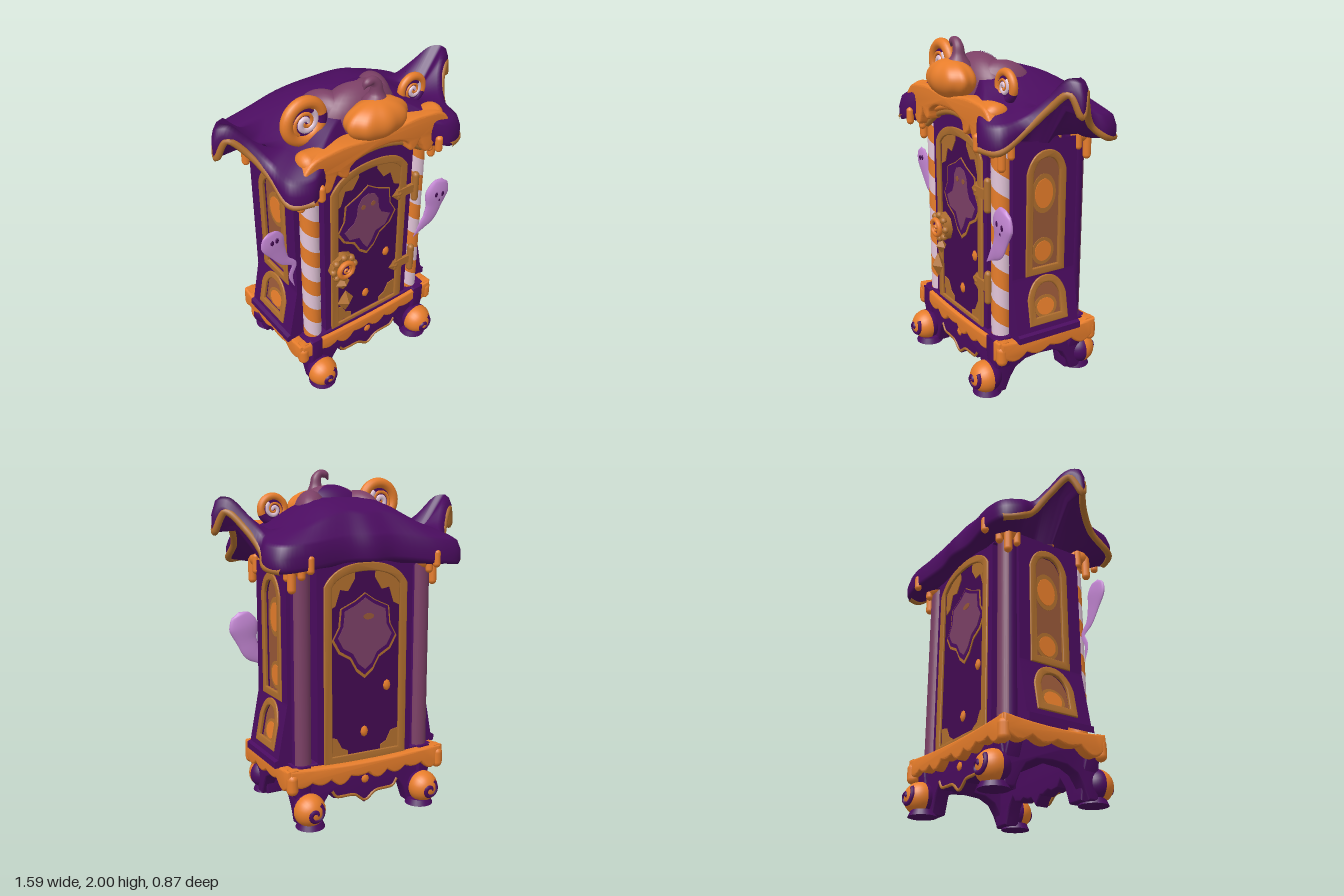
import * as THREE from 'three';
import { toCreasedNormals } from 'three/addons/utils/BufferGeometryUtils.js';

const mat = (name, color) => Object.assign(new THREE.MeshStandardMaterial({ color }), { name });
const purple = mat('purple', 0x4b0c60), dark = mat('dark plum', 0x430a52), orange = mat('orange', 0xec802c),
  bronze = mat('bronze', 0xb06f2e), mauve = mat('mauve', 0x7c4066), pale = mat('pale candy', 0xe3c6da),
  lilac = mat('ghost lilac', 0xc487d4), amber = mat('dim amber', 0x985838);
const V = (x, y, z = 0) => new THREE.Vector3(x, y, z);
const V2 = (p) => new THREE.Vector2(p[0], p[1]);
const SIDES = [-1, 1];

function add(parent, name, geo, material, x = 0, y = 0, z = 0) {
  const m = new THREE.Mesh(geo, material);
  m.name = name;
  m.position.set(x, y, z);
  parent.add(m);
  return m;
}

// Skin over closed rings listed from top to bottom, counter-clockwise from above
function loft(rings) {
  const n = rings[0].length, pos = [], idx = [];
  rings.forEach((r) => r.forEach((p) => pos.push(p.x, p.y, p.z)));
  for (let i = 0; i < rings.length - 1; i++) for (let j = 0; j < n; j++) {
    const a = i * n + j, d = i * n + (j + 1) % n;
    idx.push(a, a + n, d + n, a, d + n, d);
  }
  const g = new THREE.BufferGeometry();
  g.setAttribute('position', new THREE.Float32BufferAttribute(pos, 3));
  g.setIndex(idx);
  g.computeVertexNormals();
  return g;
}

// Tapered tube along a path in the xy plane; points are [x, y, radius]
function taper(points, flat = 1) {
  const path = new THREE.CatmullRomCurve3(points.map((p) => V(p[0], p[1])));
  const rad = new THREE.SplineCurve(points.map((p, i) => new THREE.Vector2(i, p[2])));
  const rings = [];
  for (let i = 0; i <= 40; i++) {
    const p = path.getPoint(i / 40), t = path.getTangent(i / 40), r = Math.max(0.0005, rad.getPoint(i / 40).y);
    rings.push(Array.from({ length: 16 }, (_, j) => {
      const a = j / 16 * Math.PI * 2, s = Math.sin(a) * r;
      return V(p.x - t.y * s, p.y + t.x * s, Math.cos(a) * r * flat);
    }));
  }
  return loft(rings);
}

function slab(parent, name, shape, material, depth, z, bevel = 0) {
  const geo = new THREE.ExtrudeGeometry(shape, { depth, curveSegments: 16, bevelEnabled: bevel > 0,
    bevelThickness: bevel, bevelSize: bevel, bevelSegments: 3 });
  return add(parent, name, bevel ? toCreasedNormals(geo, 0.7) : geo, material, 0, 0, z);
}
const poly = (pts) => new THREE.Shape(pts.map(V2));
// Mirrored outline from its right half, listed top to bottom
const sym = (pts) => poly([...pts, ...pts.slice().reverse().map(([x, y]) => [-x, y]).filter((p) => p[0] !== 0)]);
function arch(w, y0, y1, y2) {
  const s = new THREE.Shape();
  s.moveTo(-w, y0); s.lineTo(w, y0); s.lineTo(w, y1);
  s.quadraticCurveTo(w * 0.75, y2, 0, y2);
  s.quadraticCurveTo(-w * 0.75, y2, -w, y1);
  return s;
}
// Half width at height y of the arched openings [w, y0, y1, y2]; 0 outside them
function opening(y, arches) {
  const a = arches.find((o) => y > o[1] && y < o[3]);
  if (!a) return 0;
  const u = y < a[2] ? 1 : Math.sqrt((a[3] - y) / (a[3] - a[2]));
  return a[0] * (u * u + 1.5 * u * (1 - u));
}
function archFrame(w, y0, y1, y2, t) {
  const s = arch(w, y0, y1, y2);
  s.holes.push(arch(w - t, y0 + t, y1, y2 - t));
  return s;
}
// Spiral tube, optionally lying on a sphere of radius ball
function spiral(r, turns, tube, ball = 0) {
  const pts = Array.from({ length: 40 }, (_, i) => {
    const q = r * (0.08 + 0.92 * i / 39), a = turns * Math.PI * 2 * i / 39;
    return V(Math.cos(a) * q, Math.sin(a) * q, ball ? Math.sqrt(ball * ball - q * q) : 0);
  });
  return new THREE.TubeGeometry(new THREE.CatmullRomCurve3(pts), 60, tube, 6);
}
const disc = (r, d, n = 28) => new THREE.CylinderGeometry(r, r, d, n).rotateX(Math.PI / 2);
const drip = (parent, x, y, z, r, len) => add(parent, 'icing drip', new THREE.CapsuleGeometry(r, len, 6, 12), orange, x, y, z);

// Recessed door face with frame, corner ornaments and window, facing +z
function doorPanel(name, withGhost) {
  const g = new THREE.Group(), z = -0.019;
  g.name = name;
  slab(g, 'door field', arch(0.245, 0.355, 1.36, 1.46), dark, 0.003, z);
  slab(g, 'door frame', archFrame(0.265, 0.335, 1.36, 1.485, 0.04), bronze, 0.005, 0, 0.005);
  for (const s of SIDES) {
    slab(g, 'top ornament', poly([[-.23, 1.39], [-.17, 1.43], [-.07, 1.45], [-.065, 1.4], [-.11, 1.33], [-.16, 1.34], [-.19, 1.25], [-.23, 1.23]]
      .map(([x, y]) => [x * s, y])), bronze, 0.006, z + 0.002);
    slab(g, 'bottom ornament', poly([[-.23, .37], [-.23, .49], [-.18, .48], [-.15, .42], [-.11, .4], [-.11, .37]]
      .map(([x, y]) => [x * s, y])), bronze, 0.006, z + 0.002);
  }
  const win = [[0, 1.31], [.06, 1.27], [.15, 1.23], [.16, 1.13], [.2, 1.06], [.16, .99], [.09, .95], [.05, .88], [0, .84]];
  const grown = (k, y0) => sym(win.map(([x, y]) => [x * k, y0 + (y - y0) * k]));
  slab(g, 'window border', grown(1.06, 1.2), bronze, 0.006, z + 0.002);
  slab(g, 'window', sym(win), purple, 0.006, z + 0.004);
  if (withGhost) {
    slab(g, 'window ghost', sym([[0, 1.26], [.045, 1.245], [.072, 1.2], [.08, 1.13], [.1, 1.09], [.165, 1.05], [.13, .985],
      [.06, .97], [.03, .91], [0, .87]]), mauve, 0.005, z + 0.008);
    for (const s of SIDES) add(g, 'window ghost eye', disc(0.016, 0.004, 12), amber, s * 0.035, 1.18, z + 0.013);
  } else {
    slab(g, 'window pane', grown(0.88, 1.12), mauve, 0.005, z + 0.008);
    add(g, 'window glint', disc(1, 0.004, 16), amber, 0.02, 1.18, z + 0.013).scale.set(0.035, 0.018, 1);
  }
  for (const [x, y] of [[0, 0.5], [0.15, 0.76]])
    add(g, 'gem', new THREE.OctahedronGeometry(0.034, 1), orange, x, y, z + 0.006).scale.set(0.75, 1, 0.4);
  return g;
}

// Recessed arched side window, facing +z
function sideWindow(name, y0, y1, y2, w, glows) {
  const g = new THREE.Group();
  g.name = name;
  slab(g, 'window fill', arch(w - 0.022, y0 + 0.012, y1, y2 - 0.022), amber, 0.004, -0.029);
  slab(g, 'window frame', archFrame(w, y0, y1, y2, 0.032), bronze, 0.008, -0.005, 0.006);
  for (const [y, rx, ry] of glows) {
    add(g, 'window halo', disc(1, 0.004), bronze, 0, y, -0.024).scale.set(rx * 1.35, ry * 1.35, 1);
    add(g, 'window glow', disc(1, 0.004), orange, 0, y, -0.021).scale.set(rx, ry, 1);
  }
  return g;
}

function lollipop(root, x, y, r, arcStart, arc) {
  const g = new THREE.Group();
  g.name = 'lollipop';
  add(g, 'candy disc', disc(r * 0.85, 0.03), purple);
  add(g, 'candy rim', new THREE.TorusGeometry(r * 0.78, r * 0.25, 12, 36, Math.PI * 2 - arc), orange).rotation.z = arcStart + arc;
  add(g, 'candy rim stripe', new THREE.TorusGeometry(r * 0.78, r * 0.25, 12, 12, arc), purple).rotation.z = arcStart;
  for (const s of SIDES) {
    add(g, 'pale swirl', spiral(r * 0.5, 1.15, r * 0.13), pale, 0, 0, s * 0.014);
    add(g, 'orange swirl', spiral(r * 0.55, 1.15, r * 0.08), orange, 0, 0, s * 0.016).rotation.z = Math.PI;
  }
  g.position.set(x, y, 0.18);
  root.add(g);
}

function ghost(root, pts, eyes, z, flat) {
  const g = new THREE.Group();
  g.name = 'ghost';
  add(g, 'ghost body', taper(pts, flat), lilac);
  for (const [x, y, r] of eyes) add(g, 'ghost eye', new THREE.SphereGeometry(r, 10, 8), dark, x, y, flat * 0.075).scale.set(0.8, 1.2, 0.4);
  g.position.z = z;
  root.add(g);
}

function roof(root) {
  // Right half of the eave: x, z, crest height, lip height; the side tip droops like a claw
  const half = [[0, .27, 1.66, 1.6], [.2, .3, 1.65, 1.59], [.35, .36, 1.65, 1.53], [.47, .41, 1.62, 1.47], [.58, .36, 1.62, 1.47],
    [.6, .21, 1.65, 1.57], [.66, .11, 1.74, 1.68], [.745, .045, 1.84, 1.76], [.79, 0, 1.85, 1.65], [.745, -.055, 1.84, 1.76],
    [.66, -.13, 1.74, 1.67], [.6, -.21, 1.65, 1.55],
    [.62, -.3, 1.62, 1.48], [.57, -.4, 1.61, 1.46], [.44, -.425, 1.62, 1.47], [.15, -.38, 1.65, 1.5], [0, -.4, 1.65, 1.5]];
  const all = [...half, ...half.slice(1, -1).reverse().map(([x, ...r]) => [-x, ...r])];
  const crest = new THREE.CatmullRomCurve3(all.map((p) => V(p[0], p[2], p[1])), true);
  const lip = new THREE.CatmullRomCurve3(all.map((p) => V(p[0], p[3], p[1])), true);
  const N = 192, ring = (f) => Array.from({ length: N }, (_, j) => f(crest.getPoint(j / N), lip.getPoint(j / N)));
  const dome = (s) => ring((c) => V(c.x * s, 1.66 + 0.18 * Math.exp(-((c.x * s / 0.36) ** 4)) * (1 - 5.6 * (c.z * s) ** 2), c.z * s));
  const at = (s, k) => ring((c, l) => V(c.x * s, THREE.MathUtils.lerp(c.y, l.y, k), c.z * s));
  const under = ring((c, l) => V(c.x * 0.82, Math.min(l.y, 1.68) * 1.1 - 0.15, c.z * 0.82));
  add(root, 'roof', loft([0, 0.15, 0.3, 0.42, 0.54, 0.66, 0.76].map(dome).concat([at(0.93, 0), at(0.97, 0.12), at(1, 0.5), at(1, 0.85),
    at(0.985, 1), at(0.95, 0.95), under, ring((c) => V(c.x * 0.62, 1.47, c.z * 0.7))])), purple);
  // Trim tucked under the side eaves
  for (const s of SIDES) {
    const trim = half.slice(3, 14).map((p) => V(s * p[0] * 0.98, p[3] + 0.01, p[1] * 0.99));
    add(root, 'eave trim', new THREE.TubeGeometry(new THREE.CatmullRomCurve3(trim), 90, 0.02, 8), bronze);
  }
}

export function createModel() {
  const root = new THREE.Group();
  root.name = 'haunted candy cabinet';

  // Cabinet body with notched corners, flared sides and recessed doors and windows
  const doors = [[0.235, 0.365, 1.36, 1.455]], windows = [[0.102, 0.733, 1.3, 1.397], [0.102, 0.443, 0.57, 0.667]];
  const wall = (y) => y < 0.385 ? 0.54 : 0.458 + Math.max(0, 0.7 - y) * 0.19;
  const body = loft(Array.from({ length: 153 }, (_, i) => {
    const y = 1.48 - i * 0.0075, w = wall(y), d = opening(y, doors), o = opening(y, windows);
    const a = d || 0.05, s = o || 0.05, dd = d ? 0.02 : 0, e = w - (o ? 0.03 : 0), zc = -0.017;
    const right = [[a, .275 - dd], [a, .275], [.31, .275], [.31, .2], [w, .2], [w, zc + s], [e, zc + s], [e, zc - s], [w, zc - s],
      [w, -.22], [.31, -.22], [.31, -.3], [a, -.3], [a, -.3 + dd]];
    return [...right, ...right.slice().reverse().map(([x, z]) => [-x, z])].map(([x, z]) => V(x, y, z));
  }));
  add(root, 'cabinet body', toCreasedNormals(body, 0.6), purple);

  // Corner poles: striped at the front, plain at the back
  for (const s of SIDES) {
    const H = 1.14, n = 72, geo = new THREE.CylinderGeometry(0.055, 0.055, H, 16, n, true), p = geo.attributes.position, v = V(0, 0);
    for (let i = 0; i < p.count; i++) {
      v.fromBufferAttribute(p, i).applyAxisAngle(V(0, 1), -v.y * Math.PI * 2 / 0.22);
      p.setXYZ(i, v.x, v.y, v.z);
    }
    geo.computeVertexNormals();
    geo.clearGroups();
    geo.addGroup(0, 8 * n * 6, 0);
    geo.addGroup(8 * n * 6, 8 * n * 6, 1);
    add(root, 'striped pole', geo, [orange, pale], s * 0.375, 0.91, 0.225);
    add(root, 'back pole', new THREE.CylinderGeometry(0.055, 0.055, H, 16, 1, true), purple, s * 0.39, 0.91, -0.25);
    add(root, 'back pole face', new THREE.CylinderGeometry(0.057, 0.057, H, 10, 1, true, Math.PI * 0.65, Math.PI * 0.7), mauve, s * 0.39, 0.91, -0.25);
  }

  // Front and back doors
  const front = doorPanel('front door', true), back = doorPanel('back door', false);
  front.position.z = 0.276;
  back.position.z = -0.301;
  back.rotation.y = Math.PI;
  root.add(front, back);

  // Hinges
  for (const y of [1.18, 0.635]) {
    add(root, 'hinge post', new THREE.CapsuleGeometry(0.022, 0.16, 4, 10), bronze, 0.335, y, 0.285);
    add(root, 'hinge arm', new THREE.BoxGeometry(0.13, 0.055, 0.022), bronze, 0.265, y, 0.285);
    add(root, 'hinge point', new THREE.OctahedronGeometry(0.055), bronze, 0.215, y, 0.285).scale.z = 0.3;
  }

  // Candy door knob with hanging crystal
  add(root, 'knob plate', disc(0.09, 0.05, 8), bronze, -0.2, 0.84, 0.29);
  for (let i = 0; i < 8; i++)
    add(root, 'knob stud', new THREE.SphereGeometry(0.022, 10, 8), bronze, -0.2 + 0.074 * Math.cos(i * Math.PI / 4), 0.84 + 0.074 * Math.sin(i * Math.PI / 4), 0.308);
  add(root, 'knob face', disc(0.05, 0.035), purple, -0.2, 0.84, 0.318);
  add(root, 'knob ring', new THREE.TorusGeometry(0.047, 0.016, 8, 24), orange, -0.2, 0.84, 0.332);
  add(root, 'knob swirl', spiral(0.03, 1.2, 0.008), orange, -0.2, 0.84, 0.337);
  add(root, 'pendant bead', new THREE.OctahedronGeometry(0.05), bronze, -0.2, 0.715, 0.3).scale.z = 0.7;
  add(root, 'pendant crystal', new THREE.OctahedronGeometry(0.08), bronze, -0.2, 0.595, 0.325).scale.set(0.72, 1, 0.5);

  // Side windows
  for (const s of SIDES) {
    const tall = sideWindow('tall side window', 0.71, 1.3, 1.42, 0.125, [[1.17, 0.06, 0.085], [0.83, 0.055, 0.06]]);
    tall.position.set(s * 0.458, 0, -0.017);
    const low = sideWindow('low side window', -0.13, 0.02, 0.14, 0.125, [[-0.045, 0.058, 0.05]]);
    low.position.set(s * 0.4865, 0.55, -0.017);
    low.rotation.order = 'YXZ';
    low.rotation.x = -0.188;
    tall.rotation.y = low.rotation.y = s * Math.PI / 2;
    root.add(tall, low);
  }

  // Base: scalloped aprons, arched sides and a floor
  const apron = sym([[.45, .35], [.46, .24], [.42, .14], [.4, .02], [.31, .02], [.28, .11], [.23, .18], [.2, .135], [.15, .125], [.12, .14],
    [.07, .12], [.04, .125], [0, .075]]);
  for (const [z, s] of [[0.21, 1], [-0.29, -1]]) {
    slab(root, 'base apron', apron, purple, 0.07, z, 0.01);
    const edge = [[-.22, .175], [-.19, .135], [-.14, .13], [-.07, .125], [0, .08], [.07, .125], [.14, .13], [.19, .135], [.22, .175]];
    add(root, 'apron trim', new THREE.TubeGeometry(new THREE.CatmullRomCurve3(edge.map((e) => V(...e))), 48, 0.009, 6), bronze, 0, 0, s > 0 ? 0.29 : -0.3);
    add(root, 'apron gem', new THREE.OctahedronGeometry(0.026, 1), orange, 0, 0.21, s > 0 ? 0.292 : -0.302).scale.z = 0.4;
  }
  const sideArch = sym([[.31, .35], [.31, .24], [.29, .12], [.29, .02], [.24, .02], [.21, .09], [.17, .15], [.1, .185], [0, .193]]);
  for (const s of SIDES) {
    const m = slab(root, 'base side', sideArch, purple, 0.06, 0, 0.01);
    m.rotation.y = Math.PI / 2;
    m.position.set(s > 0 ? 0.37 : -0.43, 0, -0.005);
  }
  add(root, 'base floor', new THREE.BoxGeometry(0.9, 0.05, 0.56), purple, 0, 0.315, -0.01);

  // Icing band around the base, with rounded drips of uneven length
  function band(w, lobes) {
    const s = new THREE.Shape();
    s.moveTo(-w, 0.345);
    s.quadraticCurveTo(0, 0.305, w, 0.345);
    for (let i = 0; i <= lobes * 10; i++) {
      const k = i / (lobes * 10), wave = Math.sqrt((1 - Math.cos(k * lobes * Math.PI * 2)) / 2);
      s.lineTo(w - 2 * w * k, 0.28 - wave * (0.03 + 0.018 * Math.cos(Math.floor(i / 10) * 2.4)));
    }
    return s;
  }
  for (const [w, n, x, z, r] of [[.49, 8, 0, .255, 0], [.49, 8, 0, -.3, Math.PI], [.315, 4, .46, -.025, Math.PI / 2], [.315, 4, -.46, -.025, -Math.PI / 2]]) {
    const m = slab(root, 'base icing', band(w, n), orange, 0.045, 0, 0.012);
    m.position.set(x, 0, z);
    m.rotation.y = r;
  }

  // Corner feet, drips and pole capitals
  for (const s of SIDES) for (const f of SIDES) {
    const z = f > 0 ? 0.33 : -0.335;
    const foot = new THREE.Group();
    foot.name = 'candy foot';
    add(foot, 'foot outer half', new THREE.SphereGeometry(0.094, 24, 12, 0, Math.PI * 2, 0, Math.PI * 0.52).rotateX(Math.PI / 2), orange);
    add(foot, 'foot inner half', new THREE.SphereGeometry(0.094, 24, 12, 0, Math.PI * 2, Math.PI * 0.52, Math.PI * 0.48).rotateX(Math.PI / 2), purple);
    add(foot, 'foot swirl', spiral(0.058, 1.15, 0.014, 0.089), purple);
    foot.position.set(s * 0.383, 0.108, z);
    foot.rotation.y = f > 0 ? 0 : Math.PI;
    root.add(foot);
    add(root, 'foot pad', new THREE.CylinderGeometry(0.07, 0.085, 0.035, 24), purple, s * 0.37, 0.0175, z - f * 0.015);
    drip(root, s * 0.485, 0.275, f > 0 ? 0.285 : -0.335, 0.034, 0.06);
    const cz = f > 0 ? 0.25 : -0.27;
    add(root, 'pole capital', new THREE.SphereGeometry(1, 18, 12), orange, s * 0.41, 1.485, cz).scale.set(0.07, 0.06, 0.07);
    drip(root, s * 0.455, 1.42, cz + f * 0.02, 0.024, 0.12);
    drip(root, s * 0.455, 1.455, cz - f * 0.04, 0.02, 0.08);
    drip(root, s * 0.41, 1.46, cz + f * 0.05, 0.022, 0.06);
    drip(root, s * 0.4, 1.5, f > 0 ? 0.385 : -0.41, 0.022, 0.06);
  }

  // Arched head of the front and its icing
  slab(root, 'front arch', arch(0.33, 1.46, 1.48, 1.62), purple, 0.03, 0.25);
  slab(root, 'back arch', arch(0.33, 1.46, 1.48, 1.56), purple, 0.03, -0.3);
  const bow = (y) => new THREE.TubeGeometry(new THREE.CatmullRomCurve3([V(-.35, y - .13), V(-.2, y - .04), V(0, y), V(.2, y - .04), V(.35, y - .13)]), 40, 0.018, 8);
  add(root, 'arch trim', bow(1.58), bronze, 0, 0, 0.295);
  add(root, 'arch icing', bow(1.61), orange, 0, 0, 0.31);
  const drips = [[0, 1.63], [.12, 1.62], [.2, 1.58], [.22, 1.525], [.25, 1.54], [.28, 1.58], [.31, 1.52], [.335, 1.475], [.37, 1.5],
    [.39, 1.58], [.43, 1.59], [.46, 1.54], [.48, 1.6], [.42, 1.67], [.3, 1.69], [.19, 1.69]];
  const icing = new THREE.Shape();
  icing.moveTo(0, 1.665);
  icing.splineThru([...drips.slice(1).reverse(), ...drips.map(([x, y]) => [-x, y]), [0, 1.665]].map(V2));
  slab(root, 'front icing', icing, orange, 0.09, 0.26, 0.014);
  for (const s of SIDES) add(root, 'icing mound', new THREE.CapsuleGeometry(0.055, 0.17, 8, 18).rotateZ(Math.PI / 2), orange, s * 0.335, 1.65, 0.285).scale.z = 1.3;

  roof(root);

  // Pumpkin with its hood and stem
  const ribbed = new THREE.SphereGeometry(1, 64, 24), rp = ribbed.attributes.position;
  for (let i = 0; i < rp.count; i++) {
    const k = 1 + 0.03 * Math.cos(9 * Math.atan2(rp.getX(i), rp.getZ(i))) * Math.hypot(rp.getX(i), rp.getZ(i));
    rp.setXYZ(i, rp.getX(i) * k, rp.getY(i), rp.getZ(i) * k);
  }
  ribbed.computeVertexNormals();
  add(root, 'pumpkin', ribbed, orange, 0, 1.775, 0.315).scale.set(0.19, 0.108, 0.117);
  add(root, 'pumpkin hood', new THREE.SphereGeometry(1, 32, 20), mauve, 0, 1.71, 0.14).scale.set(0.25, 0.2, 0.14);
  for (const s of SIDES) {
    const lobe = add(root, 'hood lobe', new THREE.SphereGeometry(1, 24, 16), mauve, s * 0.155, 1.74, 0.09);
    lobe.scale.set(0.1, 0.14, 0.17);
    lobe.rotation.y = -s * 0.4;
  }
  add(root, 'hood patch', new THREE.SphereGeometry(1.015, 20, 14, Math.PI * 1.25, Math.PI * 0.5, 0.05, 1.4), purple, 0, 1.71, 0.14).scale.set(0.25, 0.2, 0.14);
  add(root, 'pumpkin stem', taper([[.02, 1.85, .075], [.025, 1.9, .04], [.02, 1.95, .03], [-.005, 1.976, .024], [-.04, 1.97, .022], [-.06, 1.94, .004]]), mauve, 0, 0, 0.28);

  lollipop(root, -0.36, 1.815, 0.135, -0.3, 0.5);
  lollipop(root, 0.355, 1.77, 0.094, -1.9, 1.5);

  ghost(root, [[-.625, 1.238, 0], [-.62, 1.218, .048], [-.605, 1.16, .073], [-.575, 1.08, .05], [-.535, 1, .03], [-.475, .945, .017],
    [-.5, .87, .015], [-.48, .78, .002]], [[-.615, 1.17, .014], [-.585, 1.175, .014]], 0.21, 0.2);
  ghost(root, [[.54, 1.16, 0], [.532, 1.14, .058], [.51, 1.07, .093], [.49, .98, .066], [.46, .91, .055], [.41, .865, .035], [.34, .8, .003]],
    [[.485, 1.07, .017], [.535, 1.06, .017], [.515, 1.02, .009]], 0.295, 0.28);

  return root;
}
